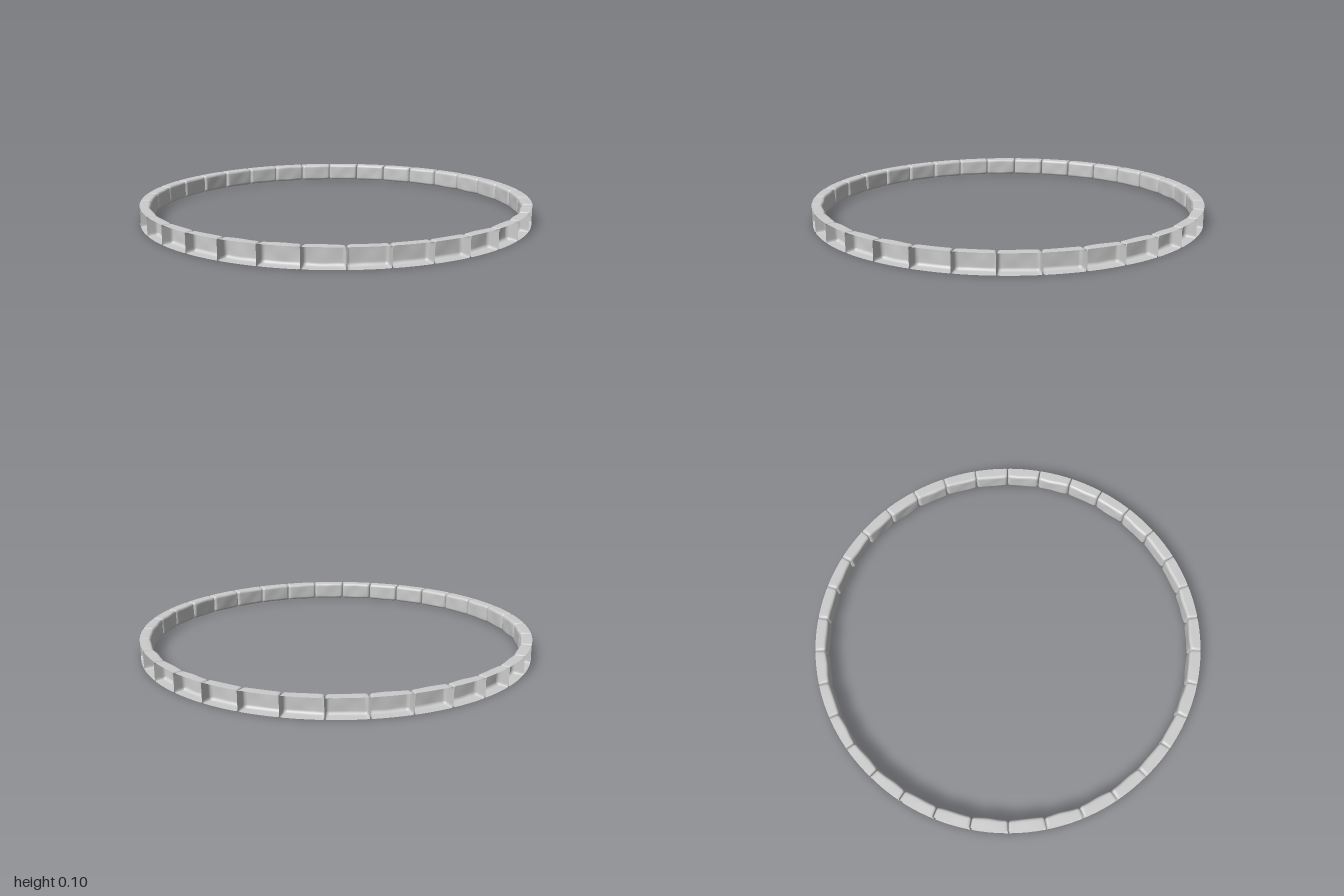
import * as THREE from 'three';
import { mergeVertices } from 'three/addons/utils/BufferGeometryUtils.js';

const COUNT = 34, STEP = (Math.PI * 2) / COUNT;
const HEIGHT = 0.096, DEPTH = 0.057, ROUND = 0.015;

// Small seeded generator for the uneven, hand-cut look
function seeded(seed) {
  return () => {
    seed = (seed * 16807) % 2147483647;
    return seed / 2147483647;
  };
}

// Moves evenly spaced grid lines so that the outer three on each side lie in the rounding
function spread(t, segments, half) {
  const k = Math.round((t + 0.5) * segments);
  const edge = [0, 0.35, 0.7, 1];
  if (k < 3) return -half + edge[k] * ROUND;
  if (k > segments - 3) return half - edge[segments - k] * ROUND;
  return (half - ROUND) * (((k - 3) / (segments - 6)) * 2 - 1);
}

// One curved stone, rounded towards the ring's centre and open at the outer rim
function stoneGeometry(rand) {
  const nx = 14, ny = 10, nz = 8;
  const box = new THREE.BoxGeometry(1, 1, 1, nx, ny, nz);
  const rim = box.groups[4];
  const index = Array.from(box.index.array);
  index.splice(rim.start, rim.count);
  box.setIndex(index);
  box.clearGroups();
  box.deleteAttribute('normal');
  box.deleteAttribute('uv');

  const halfW = STEP / 2 - 0.0015, halfH = HEIGHT / 2 - 0.001, halfD = DEPTH / 2;
  const phase = rand() * 6.28, tilt = (rand() - 0.5) * 0.006, swell = rand() * 0.004;
  const pos = box.attributes.position;
  const p = new THREE.Vector3(), core = new THREE.Vector3();
  for (let i = 0; i < pos.count; i++) {
    p.set(spread(pos.getX(i), nx, halfW), spread(pos.getY(i), ny, halfH), spread(pos.getZ(i), nz, halfD));
    core.set(
      THREE.MathUtils.clamp(p.x, -halfW + ROUND, halfW - ROUND),
      THREE.MathUtils.clamp(p.y, -halfH + ROUND, halfH - ROUND),
      Math.max(p.z, -halfD + ROUND));
    const inward = THREE.MathUtils.clamp((halfD - p.z) / DEPTH, 0, 1);
    const round = p.clone().sub(core);
    if (round.lengthSq() > 0) {
      round.setLength(ROUND).add(core);
      // The rim keeps nearly square corners
      p.lerp(round, 0.35 + 0.65 * inward);
    }
    // Flat inner face with slight waves and tilt
    const wave = Math.sin(p.x * 45 + phase) * Math.cos(p.y * 50 + phase * 2) * 0.0015;
    const flat = 1 / Math.cos(p.x) - 1;
    const depth = (halfD - p.z) + inward * (wave + tilt * p.x * 8 + swell - 0.002 - flat);
    const radius = 1 - depth;
    const y = HEIGHT / 2 + p.y * (1 + inward * Math.sin(p.x * 35 + phase) * 0.018);
    pos.setXYZ(i, Math.sin(p.x) * radius, y, Math.cos(p.x) * radius);
  }
  const geometry = mergeVertices(box, 1e-5);
  geometry.computeVertexNormals();
  return geometry;
}

export function createModel() {
  const ring = new THREE.Group();
  ring.name = 'stoneRing';
  const material = new THREE.MeshStandardMaterial({ color: 0xcccccc, side: THREE.DoubleSide });
  const rand = seeded(71);
  const shapes = Array.from({ length: 7 }, () => stoneGeometry(rand));

  // Stones set edge to edge, with a joint at the middle of the front
  for (let i = 0; i < COUNT; i++) {
    const stone = new THREE.Mesh(shapes[(i * 3) % shapes.length], material);
    stone.name = `stone${i + 1}`;
    stone.rotation.y = (i + 0.5) * STEP;
    ring.add(stone);
  }
  return ring;
}
